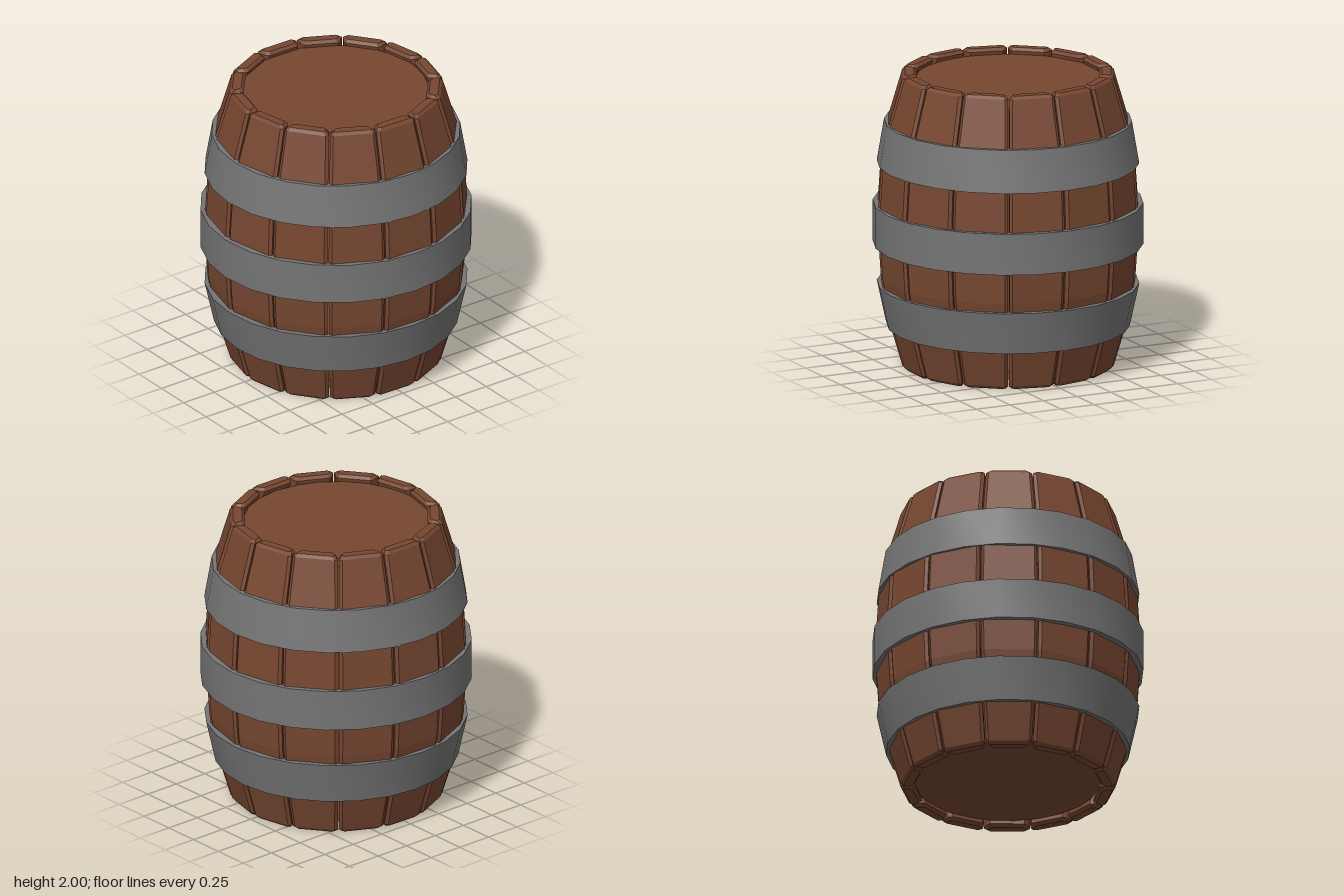
import * as THREE from 'three';
import { toCreasedNormals } from 'three/addons/utils/BufferGeometryUtils.js';

const STAVES = 14;

// One bowed plank with chamfered edges, lofted upwards through chamfered wedge sections
function staveGeometry() {
  const levels = [
    [0, 0.682, 0.018], [0.02, 0.7, 0], [0.34, 0.792, 0], [0.62, 0.842, 0], [1, 0.866, 0],
    [1.38, 0.842, 0], [1.66, 0.792, 0], [1.98, 0.7, 0], [2, 0.682, 0.018],
  ]; // height, outer radius, inset of the sides
  const c = 0.018, thick = 0.095, gap = 0.008;
  const rings = levels.map(([y, ro, inset]) => {
    const ri = ro - thick + 2 * inset;
    const half = (r) => r * Math.tan(Math.PI / STAVES) - gap - inset;
    const a = half(ro), b = half(ri);
    return [[-a + c, ro], [a - c, ro], [a, ro - c], [b, ri + c],
      [b - c, ri], [-b + c, ri], [-b, ri + c], [-a, ro - c]]
      .map(([x, z]) => [x, y, z]);
  });
  const pos = [];
  const tri = (...pts) => pts.forEach((p) => pos.push(...p));
  for (let l = 0; l < rings.length - 1; l++) {
    const lo = rings[l], hi = rings[l + 1];
    for (let i = 0; i < 8; i++) {
      const j = (i + 1) % 8;
      tri(lo[i], lo[j], hi[j]);
      tri(lo[i], hi[j], hi[i]);
    }
  }
  const bottom = rings[0], top = rings[rings.length - 1];
  for (let k = 1; k < 7; k++) {
    tri(top[0], top[k], top[k + 1]);
    tri(bottom[0], bottom[k + 1], bottom[k]);
  }
  const g = new THREE.BufferGeometry();
  g.setAttribute('position', new THREE.Float32BufferAttribute(pos, 3));
  g.computeVertexNormals();
  return g;
}

// Closed band between two heights, smooth around and sharp at its rims
function hoopGeometry(y0, r0, y1, r1) {
  const t = 0.045;
  const profile = [[r0 - t, y0], [r0, y0], [r1, y1], [r1 - t, y1], [r0 - t, y0]]
    .map(([r, y]) => new THREE.Vector2(r, y));
  return toCreasedNormals(new THREE.LatheGeometry(profile, 24), 0.5);
}

export function createModel() {
  const wood = new THREE.MeshStandardMaterial({ color: 0x774731 });
  wood.name = 'wood';
  const iron = new THREE.MeshStandardMaterial({ color: 0x757575 });
  iron.name = 'iron';

  const barrel = new THREE.Group();
  barrel.name = 'barrel';
  const add = (name, geometry, material, parent = barrel) => {
    const mesh = new THREE.Mesh(geometry, material);
    mesh.name = name;
    parent.add(mesh);
    return mesh;
  };

  // Ring of staves, turned very slightly
  const staves = new THREE.Group();
  staves.name = 'staves';
  barrel.add(staves);
  const plank = staveGeometry();
  for (let k = 0; k < STAVES; k++) {
    add('stave', plank, wood, staves).rotation.y = ((k + 0.5) / STAVES) * Math.PI * 2 - 0.02;
  }

  // Round heads, set just inside both ends
  const head = new THREE.CylinderGeometry(0.622, 0.622, 0.06, 24);
  add('topHead', head, wood).position.set(-0.01, 1.925, 0);
  add('bottomHead', head, wood).position.set(-0.01, 0.075, 0);

  // Three hoops, the outer two tapering towards the ends
  const hoops = [
    ['lowerHoop', 0.27, 0.805, 0.56, 0.868],
    ['middleHoop', 0.83, 0.895, 1.11, 0.895],
    ['upperHoop', 1.38, 0.868, 1.665, 0.82],
  ];
  for (const [name, ...size] of hoops) {
    add(name, hoopGeometry(...size), iron).scale.z = 1.012;
  }
  return barrel;
}
